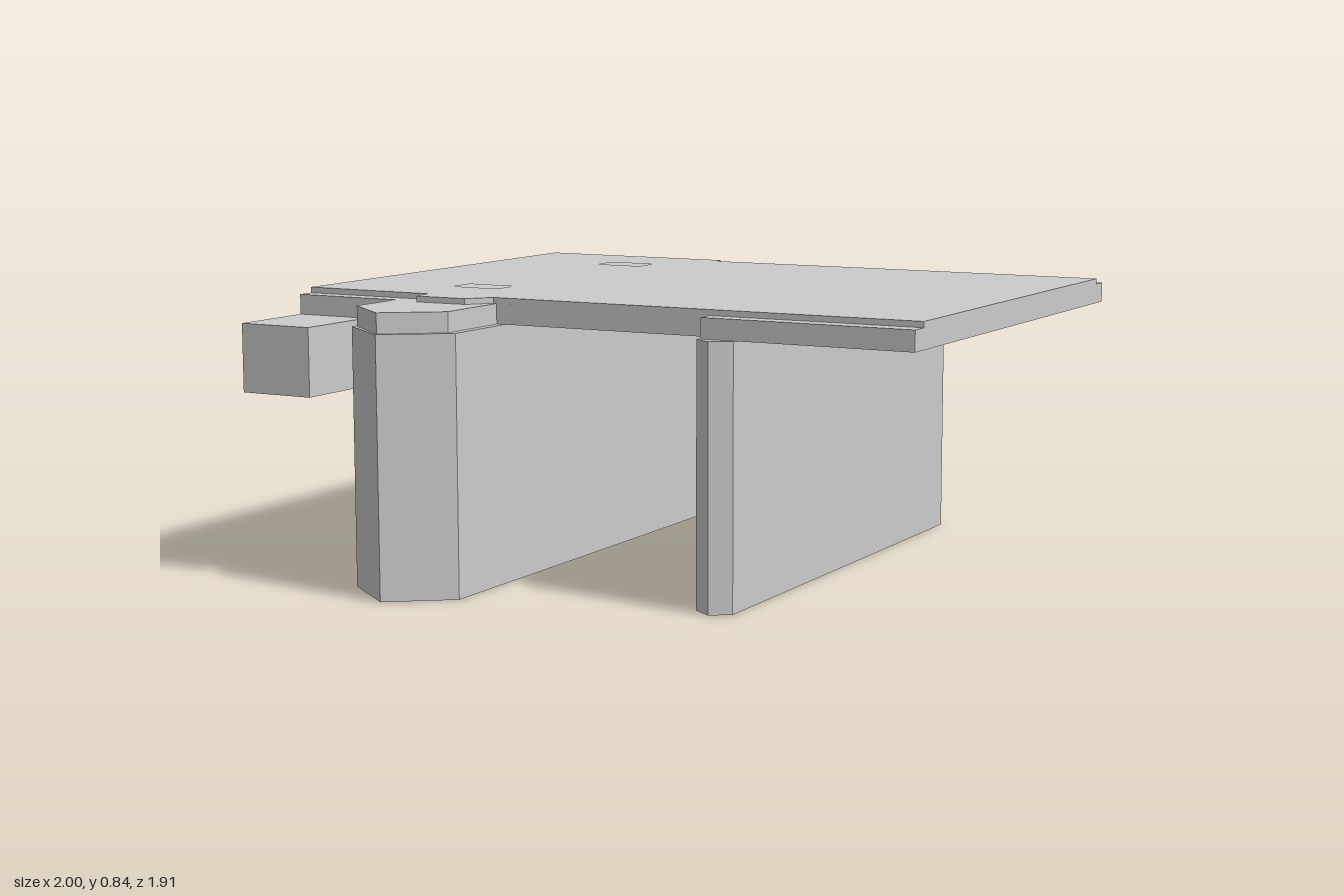
import * as THREE from 'three';

const material = new THREE.MeshStandardMaterial({ color: 0xcccccc, flatShading: true });

// Extrudes a plan outline of [x, z] points from height y0 to y1.
function slab(name, outline, y0, y1, holes = []) {
  const toPoints = (list) => list.map(([x, z]) => new THREE.Vector2(x, -z));
  const shape = new THREE.Shape(toPoints(outline));
  for (const hole of holes) shape.holes.push(new THREE.Path(toPoints(hole)));
  const geometry = new THREE.ExtrudeGeometry(shape, { depth: y1 - y0, bevelEnabled: false });
  geometry.rotateX(-Math.PI / 2);
  geometry.translate(0, y0, 0);
  const mesh = new THREE.Mesh(geometry, material);
  mesh.name = name;
  return mesh;
}

const rect = (x0, x1, z0, z1) => [[x0, z0], [x1, z0], [x1, z1], [x0, z1]];

export function createModel() {
  const model = new THREE.Group();
  model.name = 'bridge';
  const underside = 0.765, ledge = 0.825, top = 0.842;

  // Deck base, with side ledges and the pointed cap over the wide pier
  model.add(slab('deckBase', [
    [-1, -0.905], [-0.31, -0.905], [-0.31, -0.812], [0.355, -0.82], [0.355, -0.872], [1, -0.872],
    [1, 0.613], [0.36, 0.613], [0.36, 0.56], [-0.335, 0.567], [-0.335, 0.82],
    [-0.495, 0.94], [-0.655, 0.81], [-0.655, 0.62], [-1, 0.62],
  ], underside, ledge));

  // Road surface with two shallow rectangular recesses
  model.add(slab('roadSurface', [
    [-1, -0.85], [-0.345, -0.85], [-0.345, -0.812], [0.36, -0.82], [1, -0.82],
    [1, 0.555], [-0.345, 0.567], [-0.4, 0.635], [-0.565, 0.64], [-0.575, 0.567], [-1, 0.567],
  ], ledge, top, [rect(-0.63, -0.475, -0.605, -0.52), rect(-0.63, -0.475, 0.26, 0.345)]));

  // Wide pier: pointed front, stepping in to a narrow pointed tail
  model.add(slab('widePier', [
    [-0.67, 0.815], [-0.49, 0.953], [-0.31, 0.82], [-0.31, -0.91], [-0.365, -0.953],
    [-0.425, -0.91], [-0.425, -0.72], [-0.67, -0.72],
  ], 0, underside));

  // Narrow pier, pointed at both ends
  model.add(slab('narrowPier', [
    [0.35, 0.62], [0.407, 0.658], [0.465, 0.62], [0.465, -0.875], [0.407, -0.915], [0.35, -0.875],
  ], 0, underside));

  // Beam hanging under the deck edge and projecting at the front
  model.add(slab('edgeBeam', rect(-1, -0.762, -0.865, 0.9), 0.562, underside));

  return model;
}
